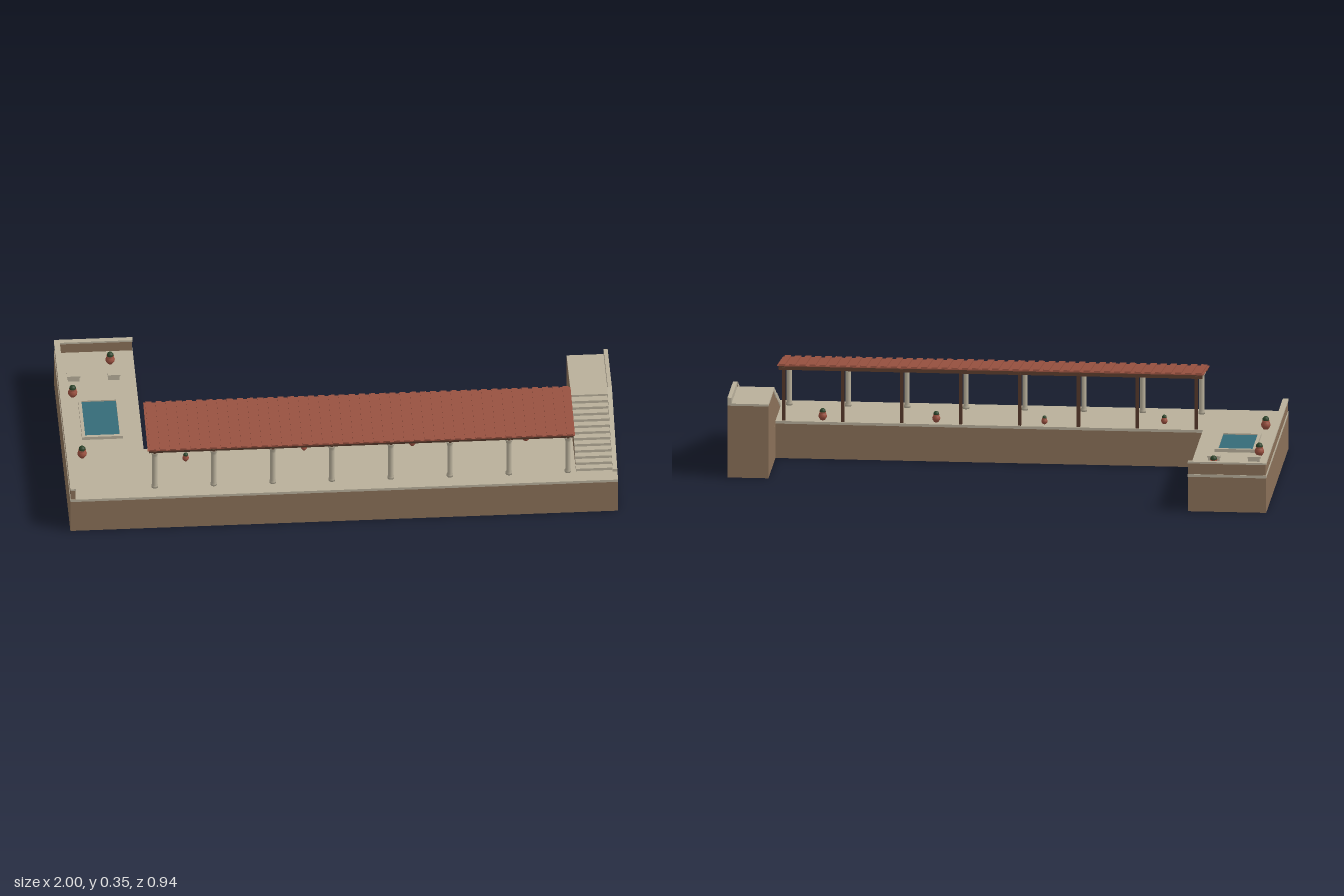
import * as THREE from 'three';

const mat = (name, color, side = THREE.FrontSide) => {
  const m = new THREE.MeshStandardMaterial({ color, side });
  m.name = name;
  return m;
};

export function createModel() {
  const root = new THREE.Group();
  root.name = 'terrace';
  const earth = mat('earth wall', 0x8a7058);
  const stone = mat('pale stone', 0xb8af9a);
  const tile = mat('roof tile', 0x96503f);
  const wood = mat('dark wood', 0x56392a);
  const clay = mat('clay', 0x9c5140);
  const leaf = mat('leaf', 0x2a4228);
  const water = mat('water', 0x356b78);

  const add = (name, geo, m, parent = root) => {
    const mesh = new THREE.Mesh(geo, m);
    mesh.name = name;
    parent.add(mesh);
    return mesh;
  };
  // Box given by its limits on each axis
  const box = (name, m, x0, x1, y0, y1, z0, z1, parent = root) => {
    const mesh = add(name, new THREE.BoxGeometry(x1 - x0, y1 - y0, z1 - z0), m, parent);
    mesh.position.set((x0 + x1) / 2, (y0 + y1) / 2, (z0 + z1) / 2);
    return mesh;
  };
  const shapeOf = (pts) => new THREE.Shape(pts.map(([a, b]) => new THREE.Vector2(a, b)));
  // Plan outline [x, z] raised from y0 to y1
  const plan = (name, m, pts, y0, y1) => {
    const geo = new THREE.ExtrudeGeometry(shapeOf(pts.map(([x, z]) => [x, -z])), { depth: y1 - y0, bevelEnabled: false });
    geo.rotateX(-Math.PI / 2);
    add(name, geo, m).position.y = y0;
  };
  // Side outline [z, y] spanning x0 to x1
  const side = (name, m, pts, x0, x1, parent = root) => {
    const geo = new THREE.ExtrudeGeometry(shapeOf(pts), { depth: x1 - x0, bevelEnabled: false });
    geo.rotateY(-Math.PI / 2);
    add(name, geo, m, parent).position.x = x1;
  };

  // Retaining base and paved deck
  plan('base', earth, [[-1, 0.47], [1, 0.47], [1, -0.127], [0.85, -0.127], [0.85, 0.17],
    [-0.715, 0.17], [-0.715, -0.47], [-1, -0.47]], 0, 0.13);
  plan('deck', stone, [[-1, 0.472], [1, 0.472], [1, 0.41], [0.85, 0.41], [0.85, 0.168],
    [-0.713, 0.168], [-0.713, -0.472], [-1, -0.472]], 0.13, 0.14);

  // Low parapets with coping around the left wing
  box('leftParapet', earth, -0.998, -0.982, 0.14, 0.18, -0.47, 0.47);
  box('backParapet', earth, -0.982, -0.715, 0.14, 0.18, -0.47, -0.455);
  box('leftCoping', stone, -1, -0.979, 0.18, 0.187, -0.472, 0.472);
  box('backCoping', stone, -0.979, -0.713, 0.18, 0.187, -0.472, -0.452);

  // Stair block with landing
  const stairs = new THREE.Group();
  stairs.name = 'stairs';
  root.add(stairs);
  box('landingCore', earth, 0.85, 0.985, 0.13, 0.27, -0.127, 0.113, stairs);
  box('landing', stone, 0.85, 0.985, 0.27, 0.278, -0.127, 0.125, stairs);
  const steps = 12, z0 = 0.41, run = (z0 - 0.125) / steps, rise = 0.138 / (steps + 1);
  for (let i = 0; i < steps; i++) {
    const top = 0.14 + rise * (i + 1), front = z0 - run * i;
    box('step', stone, 0.85, 0.985, top - rise * 1.2, top, front - run * 1.3, front, stairs);
    if (i > 0) box('stepCore', earth, 0.851, 0.985, 0.13, top - rise * 1.2, front - run, front, stairs);
  }
  side('stairWall', earth, [[-0.127, 0.13], [0.41, 0.13], [0.41, 0.14], [0.113, 0.288],
    [0.113, 0.27], [-0.127, 0.27]], 0.985, 1, stairs);
  side('slopedCoping', stone, [[0.42, 0.138], [0.42, 0.15], [0.113, 0.3], [0.113, 0.286]], 0.983, 1, stairs);
  box('landingParapet', stone, 0.985, 1, 0.27, 0.3, -0.127, 0.113, stairs);

  // Pergola: stone columns in front, wooden posts behind
  const pergola = new THREE.Group();
  pergola.name = 'pergola';
  root.add(pergola);
  const colProfile = [[0, 0], [0.012, 0], [0.012, 0.008], [0.0095, 0.012], [0.0095, 0.135], [0.011, 0.145],
    [0.015, 0.153], [0.015, 0.16], [0, 0.16]].map(([x, y]) => new THREE.Vector2(x, y));
  const colGeo = new THREE.LatheGeometry(colProfile, 16);
  const slope = Math.atan2(0.033, 0.256);
  // Frame tilted with the roof, centred on the rafters
  const roof = new THREE.Group();
  roof.name = 'roof';
  roof.position.set(0, 0.321, 0.299);
  roof.rotation.x = slope;
  pergola.add(roof);
  for (let i = 0; i < 8; i++) {
    const x = -0.688 + i * 0.2155;
    add('column', colGeo, stone, pergola).position.set(x, 0.14, 0.408);
    box('post', wood, x - 0.006, x + 0.006, 0.14, 0.332, 0.175, 0.187, pergola);
    box('rafter', wood, x - 0.005, x + 0.005, -0.005, 0.004, -0.129, 0.129, roof);
  }
  box('frontBeam', wood, -0.71, 0.84, -0.006, 0.008, 0.112, 0.124, roof);
  box('backBeam', wood, -0.71, 0.84, -0.006, 0.008, -0.124, -0.112, roof);
  box('roofSheet', tile, -0.715, 0.845, 0.008, 0.011, -0.13, 0.13, roof);
  const ribs = 42, pitch = 1.56 / ribs;
  for (let i = 0; i < ribs; i++) {
    const x = -0.715 + pitch * (i + 0.5);
    box('roofRib', tile, x - pitch * 0.3, x + pitch * 0.3, 0.011, 0.016, -0.13, 0.13, roof);
  }

  // Sunken-look pool with raised rim
  const rim = [-0.933, -0.783, -0.143, 0.098], w = 0.012;
  box('poolRimLeft', stone, rim[0], rim[0] + w, 0.14, 0.152, rim[2], rim[3]);
  box('poolRimRight', stone, rim[1] - w, rim[1], 0.14, 0.152, rim[2], rim[3]);
  box('poolRimBack', stone, rim[0] + w, rim[1] - w, 0.14, 0.152, rim[2], rim[2] + w);
  box('poolRimFront', stone, rim[0] + w, rim[1] - w, 0.14, 0.152, rim[3] - w, rim[3]);
  box('poolWater', water, rim[0] + w, rim[1] - w, 0.14, 0.147, rim[2] + w, rim[3] - w);

  // Small stone seats, slightly wider at the top
  for (const x of [-0.94, -0.793]) {
    box('seatBody', stone, x - 0.021, x + 0.021, 0.14, 0.158, -0.293, -0.272);
    box('seatTop', stone, x - 0.024, x + 0.024, 0.158, 0.164, -0.296, -0.269);
  }

  // Potted plants
  const potGeo = new THREE.LatheGeometry([[0, 0], [0.009, 0], [0.016, 0.01], [0.0175, 0.018], [0.014, 0.027],
    [0.012, 0.03], [0.014, 0.033], [0, 0.033]].map(([x, y]) => new THREE.Vector2(x, y)), 16);
  const plantGeo = new THREE.SphereGeometry(0.0125, 12, 8);
  [[-0.8, -0.38, 1], [-0.95, -0.18, 1], [-0.94, 0.205, 1], [-0.565, 0.25, 0.7], [-0.13, 0.21, 0.65],
    [0.265, 0.205, 0.85], [0.68, 0.2, 0.9]].forEach(([x, z, s]) => {
    const plant = new THREE.Group();
    plant.name = 'pottedPlant';
    plant.position.set(x, 0.14, z);
    plant.scale.setScalar(s);
    add('pot', potGeo, clay, plant);
    add('foliage', plantGeo, leaf, plant).position.y = 0.036;
    root.add(plant);
  });
  return root;
}
